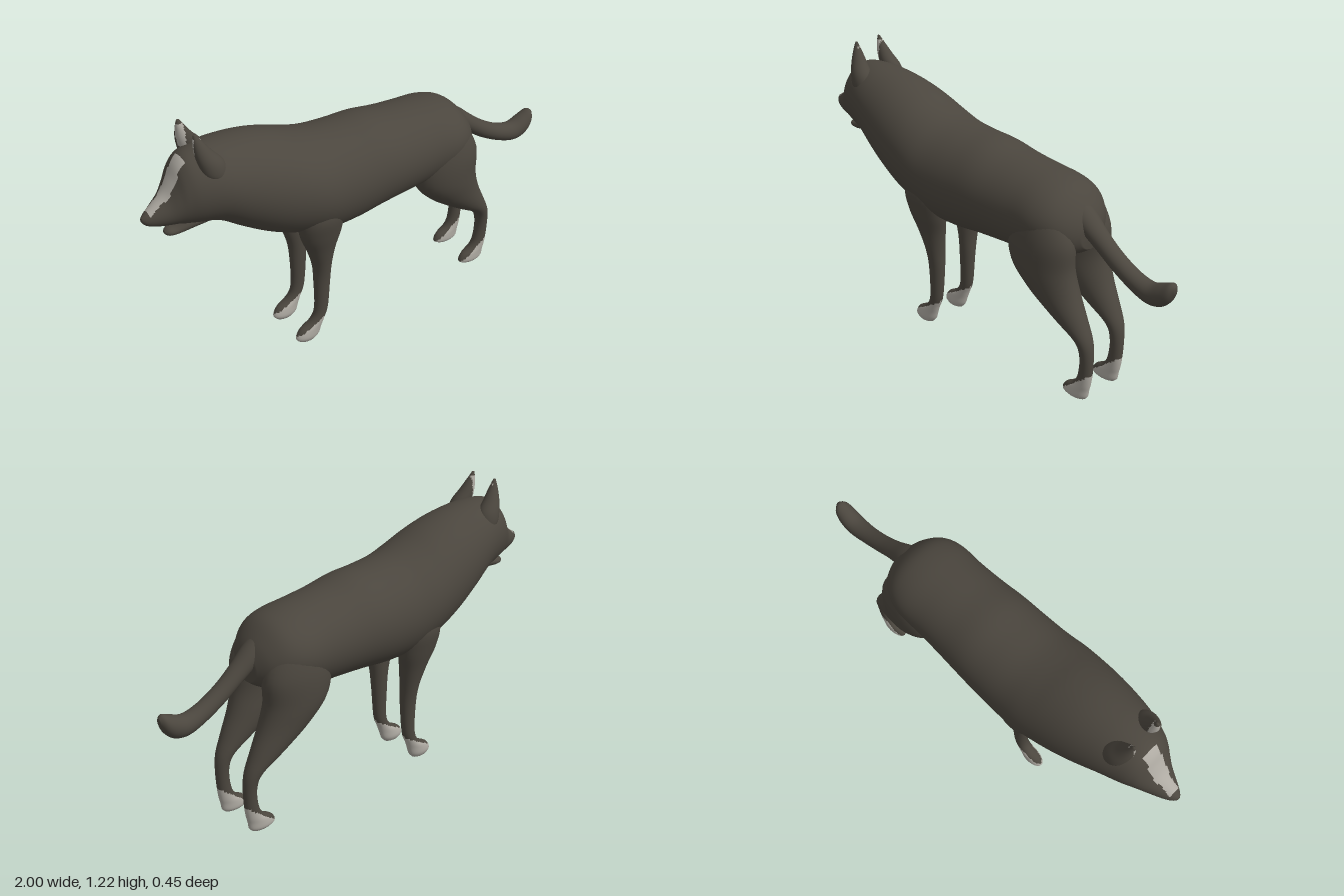
import * as THREE from 'three';

const coat = new THREE.MeshStandardMaterial({ color: 0x4b463e });
coat.name = 'dark coat';
const pale = new THREE.MeshStandardMaterial({ color: 0xaeaaa2 });
pale.name = 'pale markings';

// Smoothly fills in cross-sections between the given rows
function refine(rows, steps) {
  const out = [];
  for (let i = 0; i < rows.length - 1; i++) {
    const p0 = rows[Math.max(i - 1, 0)], p1 = rows[i], p2 = rows[i + 1];
    const p3 = rows[Math.min(i + 2, rows.length - 1)];
    for (let s = 0; s < steps; s++) {
      const t = s / steps;
      out.push(p1.map((v, k) => 0.5 * (2 * v + (p2[k] - p0[k]) * t
        + (2 * p0[k] - 5 * v + 4 * p2[k] - p3[k]) * t * t
        + (3 * v - p0[k] - 3 * p2[k] + p3[k]) * t * t * t)));
    }
  }
  out.push(rows[rows.length - 1]);
  return out;
}

// Skins elliptical rings; triangles passing isPale get the pale material
function skin(name, rows, ringPoint, { segments = 32, steps = 5, isPale = () => false } = {}) {
  const rings = refine(rows, steps);
  const pos = [], dark = [], light = [];
  const face = (...ids) => {
    const c = [0, 1, 2].map(k => ids.reduce((sum, id) => sum + pos[id * 3 + k], 0) / ids.length);
    const list = isPale(...c) ? light : dark;
    for (let i = 2; i < ids.length; i++) list.push(ids[0], ids[i - 1], ids[i]);
  };
  for (const r of rings) {
    for (let j = 0; j < segments; j++) {
      const a = j / segments * Math.PI * 2;
      pos.push(...ringPoint(r, Math.cos(a), Math.sin(a)));
    }
  }
  const first = rings.length * segments, last = first + 1, top = (rings.length - 1) * segments;
  pos.push(...ringPoint(rings[0], 0, 0), ...ringPoint(rings[rings.length - 1], 0, 0));
  for (let j = 0; j < segments; j++) {
    const k = (j + 1) % segments;
    face(first, k, j);
    face(last, top + j, top + k);
    for (let i = 0; i < rings.length - 1; i++) {
      const a = i * segments, b = a + segments;
      face(a + j, a + k, b + k, b + j);
    }
  }
  const geo = new THREE.BufferGeometry();
  geo.setAttribute('position', new THREE.Float32BufferAttribute(pos, 3));
  geo.setIndex([...dark, ...light]);
  geo.addGroup(0, dark.length, 0);
  geo.addGroup(dark.length, light.length, 1);
  geo.computeVertexNormals();
  const mesh = new THREE.Mesh(geo, light.length ? [coat, pale] : coat);
  mesh.name = name;
  return mesh;
}

// Rows along x: [x, top y, bottom y, half width]
const alongX = ([x, top, bottom, w], c, s) =>
  [x, (top + bottom) / 2 + c * (top - bottom) / 2, s * w];

// Rows up y: [y, front x, back x, centre z, half width]
const alongY = side => ([y, front, back, z, w], c, s) =>
  [(front + back) / 2 + s * (back - front) / 2, y, side * z + c * w];

const bodyRows = [
  [-1, 0.9, 0.88, 0.008], [-0.985, 0.912, 0.863, 0.024], [-0.95, 0.935, 0.848, 0.045],
  [-0.9, 0.975, 0.838, 0.07], [-0.865, 1.03, 0.832, 0.09], [-0.835, 1.09, 0.822, 0.108],
  [-0.79, 1.125, 0.812, 0.13], [-0.7, 1.134, 0.79, 0.16], [-0.6, 1.127, 0.72, 0.185],
  [-0.5, 1.11, 0.655, 0.204], [-0.4, 1.08, 0.605, 0.217], [-0.3, 1.04, 0.575, 0.225],
  [-0.2, 1.012, 0.55, 0.222], [-0.08, 1, 0.55, 0.218], [0.04, 0.995, 0.565, 0.213],
  [0.16, 0.975, 0.575, 0.205], [0.28, 0.962, 0.585, 0.2], [0.4, 0.947, 0.61, 0.2],
  [0.48, 0.92, 0.635, 0.175], [0.54, 0.86, 0.655, 0.125], [0.575, 0.8, 0.68, 0.06],
];

const jawRows = [
  [-0.91, 0.8, 0.788, 0.01], [-0.895, 0.81, 0.778, 0.026], [-0.86, 0.817, 0.777, 0.036],
  [-0.8, 0.85, 0.787, 0.055], [-0.72, 0.88, 0.795, 0.07],
];

const tailRows = [
  [0.48, 0.9, 0.78, 0.06], [0.56, 0.845, 0.735, 0.052], [0.63, 0.783, 0.685, 0.043],
  [0.71, 0.72, 0.63, 0.04], [0.8, 0.669, 0.583, 0.041], [0.88, 0.648, 0.557, 0.045],
  [0.94, 0.668, 0.565, 0.044], [0.98, 0.685, 0.6, 0.034], [1, 0.672, 0.645, 0.01],
];

const earRows = [
  [1.015, -0.71, -0.68, 0.1, 0.02], [1.05, -0.76, -0.667, 0.095, 0.038],
  [1.1, -0.778, -0.675, 0.086, 0.042], [1.15, -0.787, -0.715, 0.076, 0.032],
  [1.2, -0.787, -0.75, 0.068, 0.017], [1.232, -0.782, -0.77, 0.065, 0.004],
];

const frontLegRows = [
  [0.008, -0.365, -0.28, 0.093, 0.022], [0.03, -0.38, -0.262, 0.093, 0.032],
  [0.065, -0.36, -0.25, 0.094, 0.031], [0.1, -0.305, -0.238, 0.095, 0.028],
  [0.16, -0.28, -0.217, 0.095, 0.028], [0.3, -0.28, -0.205, 0.095, 0.034],
  [0.4, -0.288, -0.2, 0.1, 0.043], [0.5, -0.32, -0.187, 0.11, 0.055],
  [0.6, -0.36, -0.165, 0.125, 0.067], [0.7, -0.37, -0.16, 0.133, 0.075],
  [0.8, -0.33, -0.2, 0.13, 0.05],
];

const hindLegRows = [
  [0.035, 0.55, 0.65, 0.095, 0.022], [0.05, 0.533, 0.663, 0.095, 0.031],
  [0.08, 0.55, 0.668, 0.095, 0.031], [0.11, 0.595, 0.674, 0.095, 0.029],
  [0.16, 0.617, 0.68, 0.095, 0.028], [0.25, 0.622, 0.682, 0.096, 0.031],
  [0.32, 0.59, 0.672, 0.098, 0.041], [0.4, 0.47, 0.637, 0.1, 0.064],
  [0.5, 0.335, 0.592, 0.102, 0.088], [0.6, 0.255, 0.565, 0.108, 0.1],
  [0.72, 0.245, 0.562, 0.108, 0.1], [0.83, 0.29, 0.51, 0.1, 0.08],
  [0.9, 0.36, 0.44, 0.09, 0.04],
];

export function createModel() {
  const dog = new THREE.Group();
  dog.name = 'dog';

  // Head and torso with a pale blaze down the forehead and muzzle
  dog.add(skin('body', bodyRows, alongX, {
    segments: 56,
    isPale: (x, y, z) => x > -0.975 && x < -0.815 && y > 0.9
      && Math.abs(z) < (x < -0.91 ? 0.026 : 0.038),
  }));
  dog.add(skin('lowerJaw', jawRows, alongX));
  dog.add(skin('tail', tailRows, alongX));

  for (const [side, label] of [[1, 'right'], [-1, 'left']]) {
    // Ear with a pale inner front edge
    dog.add(skin(label + 'Ear', earRows, alongY(side), {
      isPale: (x, y, z) => y > 1.1 && y < 1.215 && x < -0.758 && Math.abs(z) < 0.073,
    }));
    // Legs with pale socks that rise towards the heel
    dog.add(skin(label + 'FrontLeg', frontLegRows, alongY(side), {
      isPale: (x, y) => y < 0.09 + (x + 0.3) * 0.6,
    }));
    dog.add(skin(label + 'HindLeg', hindLegRows, alongY(side), {
      isPale: (x, y) => y < 0.1 + (x - 0.6) * 0.8,
    }));
  }
  return dog;
}
